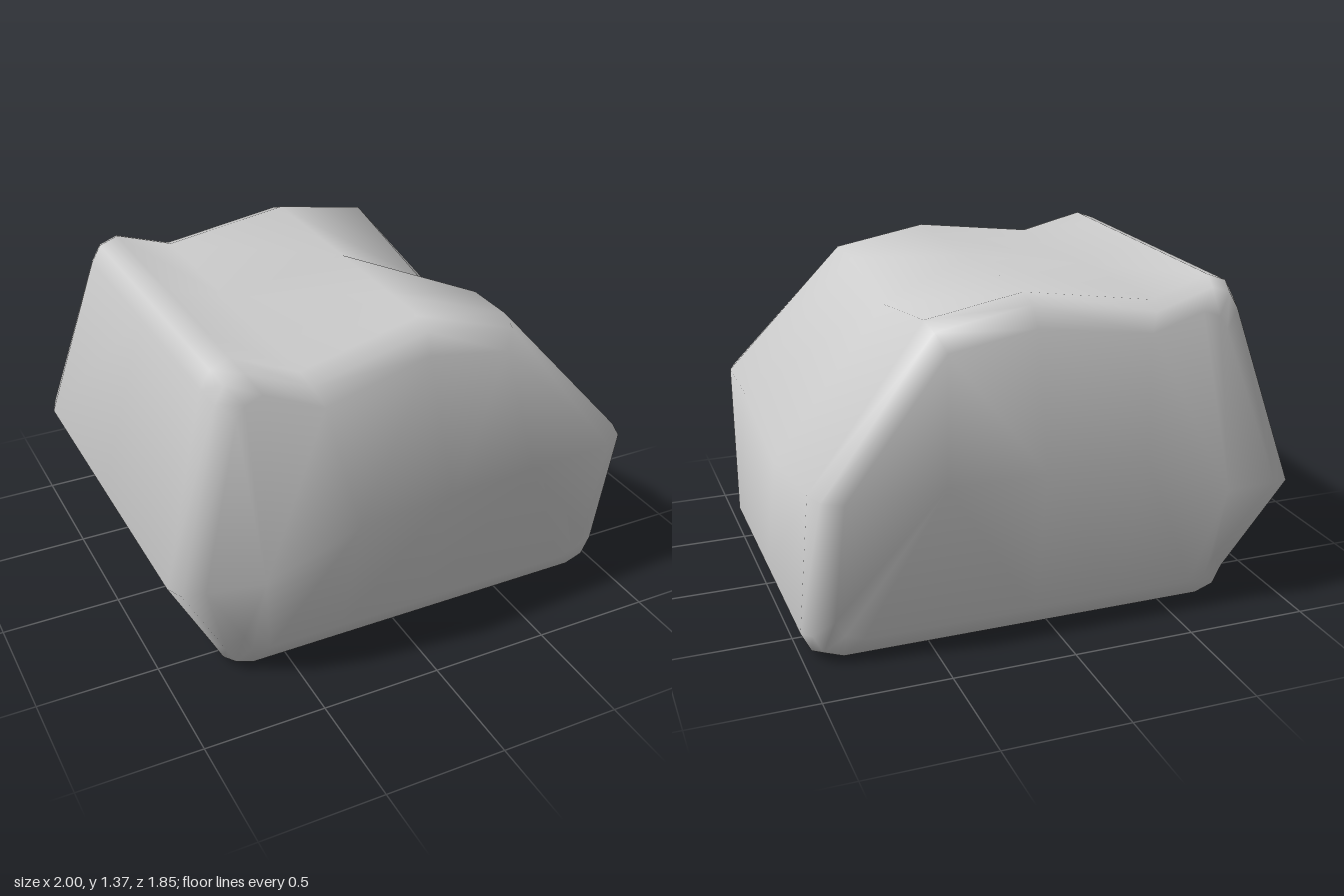
import * as THREE from 'three';

// Outline of the boulder seen from the front, counter-clockwise
const outline = [
  [-0.79, 0.11], [-0.75, 0.03], [-0.67, 0], [-0.31, 0], [0.1, 0], [0.49, 0],
  [0.88, 0], [0.96, 0.03], [1, 0.11], [0.98, 0.74], [0.49, 1.3], [0.1, 1.37],
  [-0.43, 1.29], [-0.67, 1.37], [-0.75, 1.34], [-0.79, 1.27], [-1, 0.53],
];
const RIGHT_RIDGE = 9, SHOULDER = 10, VALLEY = 12;

// Ridge points across each end face: x, y, front z, back z
const ridge = [
  [-0.67, 0.56, 0.86, -0.93], [-0.31, 0.74, 0.92, -0.93],
  [0.1, 0.74, 0.89, -0.93], [0.49, 0.74, 0.86, -0.93],
];
// Ridge point each outline point connects to
const ridgeOf = [0, 0, 0, 1, 2, 3, 3, 3, 3, 3, 3, 2, 1, 0, 0, 0, 0];

// Depth of the end-face rim: bulges at mid height
function rim(y, end, i) {
  const rise = Math.min(1, Math.max(0, Math.min((y - 0.11) / 0.5, (1.25 - y) / 0.5)));
  const front = 0.7 + 0.13 * rise + (i === VALLEY ? 0.07 : 0);
  return end > 0 ? front : -(0.79 + 0.14 * rise);
}

// Outline drawn in towards its middle, set at the rounded rim of one end
function endRing(inset, drop, end) {
  return outline.map(([x, y], i) => [
    x * (1 - inset),
    0.68 + (y - 0.68) * (1 - inset / 0.68),
    rim(y, end, i) - end * drop,
  ]);
}

function boulderGeometry() {
  const frontRings = [[0.11, 0], [0.03, 0.04], [0, 0.12]].map(([a, b]) => endRing(a, b, 1));
  const backRings = [[0, 0.12], [0.03, 0.04], [0.11, 0]].map(([a, b]) => endRing(a, b, -1));

  // Middle rings, the second carrying the hollow in the sloping side
  const full = outline.map(([x, y]) => [x, y, 0.36]);
  const hollow = outline.map(([x, y], i) => {
    if (i === RIGHT_RIDGE) return [0.95, 0.58, -0.06];
    if (i === SHOULDER) return [0.47, 1.2, -0.06];
    return [x, y, -0.06];
  });
  const rings = [...frontRings, full, hollow, ...backRings];

  const n = outline.length;
  const points = rings.flat();
  const index = [];

  // Skin between neighbouring rings
  for (let k = 0; k < rings.length - 1; k++) {
    for (let i = 0; i < n; i++) {
      const j = (i + 1) % n;
      const a = k * n, b = a + n;
      index.push(a + i, b + i, b + j, a + i, b + j, a + j);
    }
  }

  // End faces, zipped from the rim to the ridge
  for (const end of [1, -1]) {
    const rimStart = end > 0 ? 0 : (rings.length - 1) * n;
    const ridgeStart = points.length;
    ridge.forEach(([x, y, zf, zb]) => points.push([x, y, end > 0 ? zf : zb]));
    const face = (a, b, c) => (end > 0 ? index.push(a, b, c) : index.push(a, c, b));
    for (let i = 0; i < n; i++) {
      const j = (i + 1) % n;
      const mi = ridgeStart + ridgeOf[i], mj = ridgeStart + ridgeOf[j];
      face(rimStart + i, rimStart + j, mj);
      if (mi !== mj) face(rimStart + i, mj, mi);
    }
  }

  const geometry = new THREE.BufferGeometry();
  geometry.setAttribute('position', new THREE.Float32BufferAttribute(points.flat(), 3));
  geometry.setIndex(index);
  geometry.computeVertexNormals();
  return geometry;
}

export function createModel() {
  const group = new THREE.Group();
  group.name = 'rock';
  const boulder = new THREE.Mesh(
    boulderGeometry(),
    new THREE.MeshStandardMaterial({ color: 0xcccccc }),
  );
  boulder.name = 'boulder';
  group.add(boulder);
  return group;
}
